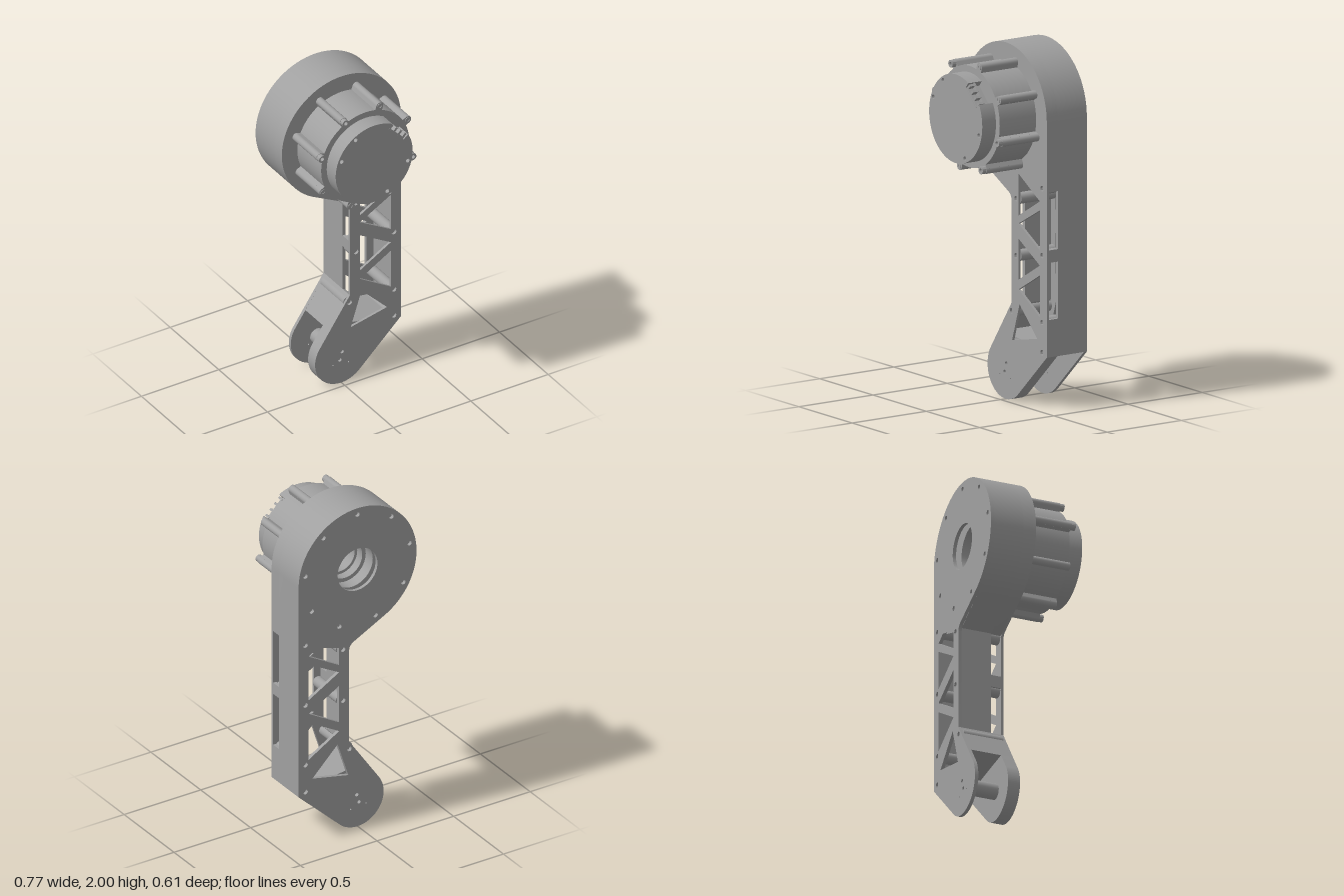
import * as THREE from 'three';
import { toCreasedNormals } from 'three/addons/utils/BufferGeometryUtils.js';

const HEAD = [0, 1.615], R = 0.385, FOOT = [0, 0.17], r = 0.17;
const deg = Math.PI / 180;

export function createModel() {
  const model = new THREE.Group();
  const grey = new THREE.MeshStandardMaterial({ color: 0xa0a0a0 });
  grey.name = 'machined grey';

  const add = (name, geo, parent = model) => {
    const mesh = new THREE.Mesh(geo, grey);
    mesh.name = name;
    parent.add(mesh);
    return mesh;
  };
  // Extrude a shape from z0 to z1
  const slab = (name, shape, z0, z1) => {
    const geo = new THREE.ExtrudeGeometry(shape, { depth: z1 - z0, bevelEnabled: false, curveSegments: 48 });
    geo.translate(0, 0, z0);
    return add(name, toCreasedNormals(geo, 0.5));
  };
  // Cylinder along z
  const rod = (name, x, y, rad, z0, z1, seg = 24) => {
    const geo = new THREE.CylinderGeometry(rad, rad, z1 - z0, seg).rotateX(Math.PI / 2);
    return add(name, geo.translate(x, y, (z0 + z1) / 2));
  };
  const poly = (pts) => new THREE.Shape(pts.map((p) => new THREE.Vector2(...p)));
  const hole = (x, y, rad) => new THREE.Path().absarc(x, y, rad, 0, Math.PI * 2, true);
  const polar = (rad, a) => [HEAD[0] + rad * Math.cos(a), HEAD[1] + rad * Math.sin(a)];

  // Outline pieces shared by plates and walls
  const headArc = (s) => s.absarc(...HEAD, R, 0, 242 * deg, false);
  const footArc = (s) => s.absarc(...FOOT, r, 145.5 * deg, 313.5 * deg, false);
  const plateOutline = () => {
    const s = new THREE.Shape();
    s.moveTo(0.385, 0.3);
    s.lineTo(0.385, HEAD[1]);
    headArc(s);
    s.lineTo(0.03, 1.166);
    s.quadraticCurveTo(0.055, 1.15, 0.055, 1.12);
    s.lineTo(0.055, 0.55);
    footArc(s);
    s.closePath();
    return s;
  };

  const triangles = [
    [[0.12, 1.285], [0.32, 1.165], [0.12, 1.05]],
    [[0.32, 1.115], [0.32, 0.89], [0.12, 1.005]],
    [[0.12, 0.92], [0.12, 0.69], [0.32, 0.805]],
    [[0.32, 0.75], [0.32, 0.515], [0.12, 0.635]],
    [[0.13, 0.555], [0.295, 0.39], [0.06, 0.34]],
  ];
  const bosses = [[0.095, 1.14], [0.095, 0.82], [0.053, 0.503], [0.34, 1.24], [0.34, 0.865], [0.34, 0.49], [0.34, 0.32]];
  const footHoles = [[0.005, 0.2, 0.011], [-0.01, 0.15, 0.011], [0.045, 0.12, 0.004], [-0.055, 0.13, 0.004]];
  const trussPlate = () => {
    const s = plateOutline();
    for (const t of triangles) s.holes.push(poly(t));
    for (const [x, y] of bosses) s.holes.push(hole(x, y, 0.015));
    for (const h of footHoles) s.holes.push(hole(...h));
    return s;
  };

  // Front and back plates
  slab('frontPlate', trussPlate(), -0.05, -0.035);
  const back = trussPlate();
  back.holes.push(hole(...HEAD, 0.13));
  for (let i = 0; i < 9; i++) back.holes.push(hole(...polar(0.345, (10 + i * 40) * deg), 0.014));
  slab('backPlate', back, -0.305, -0.285);

  // Closed wall between the plates, hollow in the head and the arm
  const wall = new THREE.Shape();
  wall.moveTo(0.385, 0.3);
  wall.lineTo(0.385, HEAD[1]);
  headArc(wall);
  wall.lineTo(0.055, 1.15);
  wall.lineTo(0.055, 0.55);
  wall.lineTo(-0.075, 0.36);
  wall.closePath();
  wall.holes.push(hole(...HEAD, 0.32));
  wall.holes.push(poly([[0.075, 0.54], [0.075, 1.275], [0.365, 1.275], [0.365, 0.32], [-0.04, 0.375]]));
  slab('housingWall', wall, -0.285, -0.11);

  // Front part of the wall, interrupted by side slots
  const upper = new THREE.Shape();
  upper.moveTo(0.385, 1.225);
  upper.lineTo(0.385, HEAD[1]);
  headArc(upper);
  for (const p of [[0.055, 1.15], [0.075, 1.15], [0.075, 1.275], [0.365, 1.275], [0.365, 1.225]]) upper.lineTo(...p);
  upper.closePath();
  upper.holes.push(hole(...HEAD, 0.32));
  slab('upperFrontWall', upper, -0.11, -0.05);
  slab('lowerFrontWall', poly([[0.385, 0.3], [0.385, 0.51], [0.365, 0.51], [0.365, 0.32], [-0.04, 0.375],
    [0.075, 0.54], [0.055, 0.55], [-0.075, 0.36]]), -0.11, -0.05);
  for (const x of [0.065, 0.375]) {
    const bridge = add('slotBridge', new THREE.BoxGeometry(0.02, 0.07, 0.06));
    bridge.position.set(x, 0.865, -0.08);
  }
  for (const [x, y] of bosses) rod('screwBoss', x, y, y === 0.32 ? 0.022 : 0.032, -0.285, -0.05);

  // Thick front fork cheek and the joint pin
  const cheek = new THREE.Shape();
  cheek.moveTo(0.385, 0.3);
  cheek.lineTo(-0.075, 0.36);
  footArc(cheek);
  cheek.closePath();
  slab('forkCheek', cheek, -0.107, -0.05);
  rod('jointPin', ...FOOT, 0.045, -0.285, -0.107, 32);

  // Stepped bearing rings seen through the rear opening
  const bearing = add('bearingRings', toCreasedNormals(new THREE.LatheGeometry([
    [0.32, -0.06], [0.095, -0.06], [0.095, -0.13], [0.112, -0.13], [0.112, -0.18],
    [0.135, -0.18], [0.135, -0.25], [0.32, -0.25],
  ].map((p) => new THREE.Vector2(...p)).reverse(), 48).rotateX(Math.PI / 2), 0.5));
  bearing.position.set(...HEAD, 0);
  bearing.material = grey;
  grey.side = THREE.DoubleSide;

  // Motor body with eight screw columns
  rod('motorBody', ...HEAD, 0.285, -0.035, 0.21, 64);
  for (let i = 0; i < 8; i++) {
    const a = (27.3 + i * 45) * deg;
    const [x, y] = polar(0.308, a);
    rod('screwColumn', x, y, 0.023, -0.035, 0.21);
    const web = add('columnWeb', new THREE.BoxGeometry(0.05, 0.046, 0.245));
    web.position.set(...polar(0.283, a), 0.0875);
    web.rotation.z = a;
    const big = [2, 3, 6, 7].includes(i);
    if (big) {
      slab('screwHead', Object.assign(new THREE.Shape().absarc(x, y, 0.021, 0, Math.PI * 2, false),
        { holes: [hole(x, y, 0.011)] }), 0.21, 0.236);
    } else {
      slab('screwSeat', Object.assign(new THREE.Shape().absarc(x, y, 0.016, 0, Math.PI * 2, false),
        { holes: [hole(x, y, 0.009)] }), 0.21, 0.214);
    }
  }

  // Round motor cap with a notch for the connector
  const cap = new THREE.Shape();
  cap.absarc(...HEAD, 0.249, 62 * deg, 388 * deg, false);
  cap.lineTo(...polar(0.212, 26 * deg));
  cap.lineTo(...polar(0.212, 64 * deg));
  cap.closePath();
  for (const [x, y] of [[-0.12, 1.81], [-0.21, 1.7], [0.217, 1.56], [0.085, 1.407]]) cap.holes.push(hole(x, y, 0.012));
  slab('motorCap', cap, 0.21, 0.302);

  // Connector block with open sockets
  const connector = new THREE.Group();
  connector.name = 'connector';
  connector.position.set(...polar(0.215, 45 * deg), 0);
  connector.rotation.z = 45 * deg;
  model.add(connector);
  const block = (name, w, h, d, x, y, z) => add(name, new THREE.BoxGeometry(w, h, d), connector).position.set(x, y, z);
  block('connectorBase', 0.035, 0.15, 0.012, 0, 0, 0.258);
  block('connectorBack', 0.012, 0.13, 0.04, -0.012, 0, 0.28);
  for (const y of [-0.06, -0.02, 0.02, 0.06]) block('connectorRib', 0.035, 0.014, 0.036, 0.002, y, 0.278);

  return model;
}
